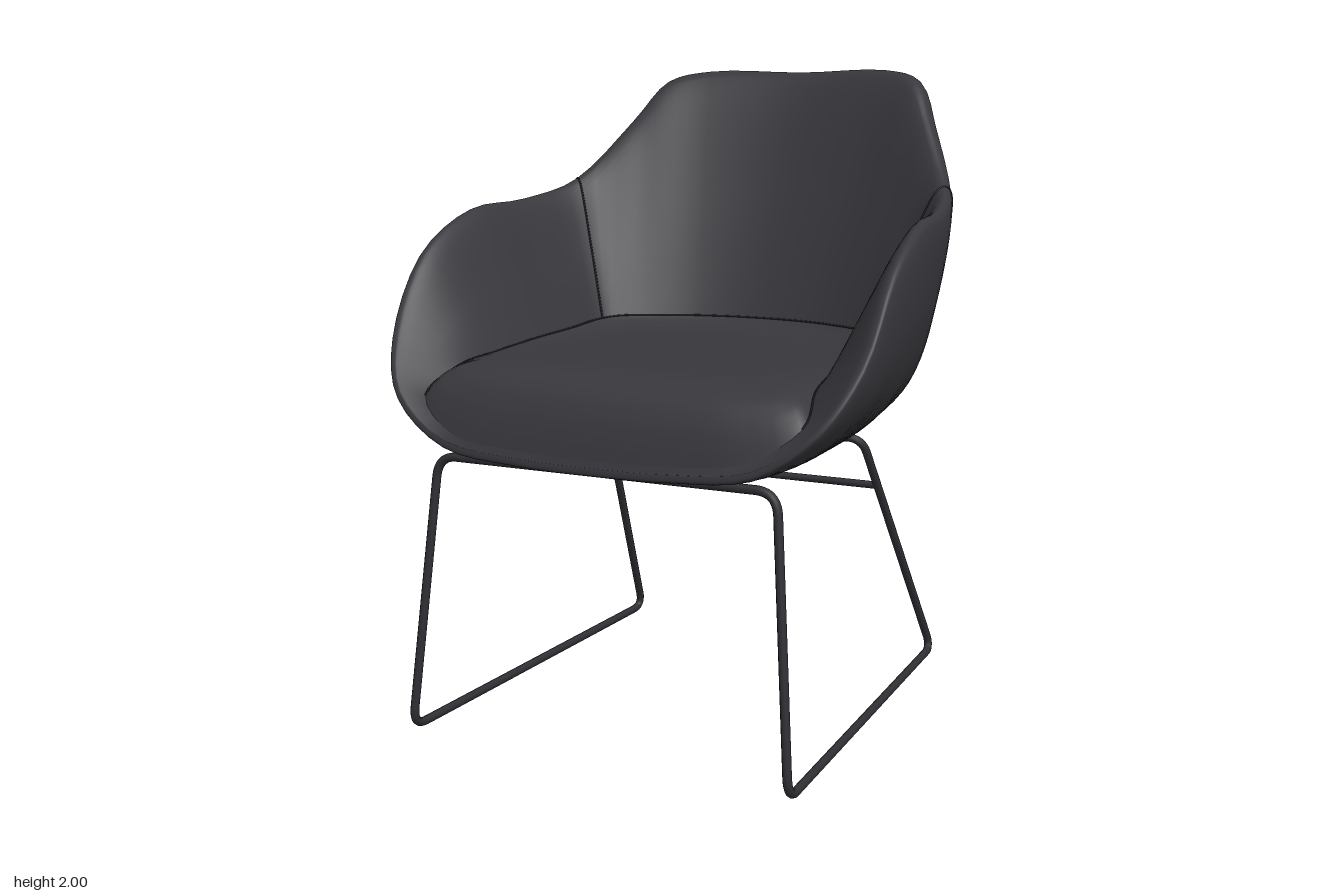
import * as THREE from 'three';

const V = (x, y, z) => new THREE.Vector3(x, y, z);
const COLS = 96;   // columns around the shell
const STEPS = 8;   // rows between neighbouring rings

// Half rings of 13 points running from the back centre round the left side to the front centre.
const RIM = [
  [0, 1.995, -0.795], [0.34, 2.0, -0.745], [0.475, 1.965, -0.675], [0.56, 1.83, -0.565], [0.685, 1.63, -0.345],
  [0.75, 1.57, -0.08], [0.782, 1.55, 0.2], [0.788, 1.43, 0.46], [0.765, 1.2, 0.64], [0.68, 1.04, 0.74],
  [0.5, 0.915, 0.775], [0.25, 0.885, 0.785], [0, 0.88, 0.787],
];
const MID = [
  [0, 1.5, -0.67], [0.33, 1.5, -0.625], [0.5, 1.47, -0.54], [0.585, 1.42, -0.45], [0.665, 1.38, -0.32],
  [0.74, 1.31, -0.06], [0.78, 1.28, 0.18], [0.785, 1.22, 0.38], [0.745, 1.08, 0.55], [0.64, 0.955, 0.66],
  [0.47, 0.875, 0.73], [0.24, 0.855, 0.75], [0, 0.85, 0.755],
];
const LOW = [
  [0, 1.02, -0.51], [0.26, 1.02, -0.475], [0.4, 1.02, -0.41], [0.49, 1.02, -0.33], [0.56, 1.02, -0.24],
  [0.64, 1.02, -0.05], [0.68, 1.03, 0.14], [0.68, 1.0, 0.3], [0.62, 0.94, 0.44], [0.52, 0.885, 0.54],
  [0.38, 0.85, 0.62], [0.2, 0.84, 0.66], [0, 0.835, 0.67],
];
const SEAT = [
  [0, 1.17, -0.37], [0.2, 1.17, -0.345], [0.35, 1.17, -0.285], [0.44, 1.17, -0.225], [0.485, 1.165, -0.17],
  [0.51, 1.15, 0], [0.53, 1.14, 0.18], [0.56, 1.12, 0.38], [0.585, 1.1, 0.54], [0.61, 1.025, 0.695],
  [0.47, 0.93, 0.76], [0.24, 0.905, 0.775], [0, 0.9, 0.778],
];

// Mirrors a half ring and samples it smoothly into COLS points.
function ring(half) {
  const pts = half.map(p => V(...p));
  for (let i = half.length - 2; i > 0; i--) pts.push(V(-half[i][0], half[i][1], half[i][2]));
  const curve = new THREE.CatmullRomCurve3(pts, true);
  return Array.from({ length: COLS }, (_, i) => curve.getPoint(i / COLS));
}

// Blends two rings, with separate amounts across and in height.
const blend = (a, b, across, height, lift = 0) => a.map((p, i) => V(
  p.x + (b[i].x - p.x) * across,
  p.y + (b[i].y - p.y) * height + lift,
  p.z + (b[i].z - p.z) * across));

const pole = (x, y, z) => Array.from({ length: COLS }, () => V(x, y, z));

// Smooth columns running through a stack of rings.
function columns(rings) {
  const rows = (rings.length - 1) * STEPS;
  return Array.from({ length: COLS }, (_, i) => {
    const curve = new THREE.CatmullRomCurve3(rings.map(r => r[i]));
    return Array.from({ length: rows + 1 }, (_, k) => curve.getPoint(k / rows));
  });
}

// Skins the columns into one smooth surface.
function skin(cols) {
  const rows = cols[0].length, pos = [], index = [];
  for (const col of cols) for (const p of col) pos.push(p.x, p.y, p.z);
  for (let i = 0; i < COLS; i++) {
    for (let k = 0; k < rows - 1; k++) {
      const a = i * rows + k, b = ((i + 1) % COLS) * rows + k;
      index.push(a, a + 1, b, b, a + 1, b + 1);
    }
  }
  const geo = new THREE.BufferGeometry();
  geo.setAttribute('position', new THREE.Float32BufferAttribute(pos, 3));
  geo.setIndex(index);
  geo.computeVertexNormals();
  return geo;
}

// Closed path of straight runs joined by rounded corners.
function roundedLoop(pts, cut) {
  const path = new THREE.CurvePath();
  const toward = (a, b) => a.clone().add(b.clone().sub(a).setLength(cut));
  const n = pts.length;
  pts.forEach((p, i) => {
    const prev = pts[(i + n - 1) % n], next = pts[(i + 1) % n];
    path.add(new THREE.QuadraticBezierCurve3(toward(p, prev), p, toward(p, next)));
    path.add(new THREE.LineCurve3(toward(p, next), toward(next, p)));
  });
  return path;
}

export function createModel() {
  const group = new THREE.Group();
  const fabric = new THREE.MeshStandardMaterial({ color: 0x37373c, side: THREE.DoubleSide });
  fabric.name = 'charcoal fabric';
  const metal = new THREE.MeshStandardMaterial({ color: 0x2f2f34 });
  metal.name = 'dark metal';
  const thread = new THREE.MeshStandardMaterial({ color: 0x1a1a1d });
  thread.name = 'seam thread';
  const add = (name, geo, mat) => {
    const mesh = new THREE.Mesh(geo, mat);
    mesh.name = name;
    group.add(mesh);
  };

  // Shell: underside, outer wall, rounded rim and inner wall down to the seat edge
  const rim = ring(RIM), seat = ring(SEAT);
  const base = Array.from({ length: COLS }, (_, i) => {
    const a = i / COLS * Math.PI * 2;
    return V(0.38 * Math.sin(a), 0.825 - 0.005 * Math.cos(a), 0.1 - 0.4 * Math.cos(a));
  });
  const shell = columns([
    pole(0, 0.825, 0.1), base, ring(LOW), ring(MID),
    blend(rim, seat, 0, 0, -0.02),
    blend(rim, seat, 0.08, 0),
    blend(rim, seat, 0.18, 0.03),
    blend(rim, seat, 0.6, 0.5),
    seat,
  ]);
  add('shell', skin(shell), fabric);

  // Seat cushion: crowned pad with a rolled front edge
  const centre = pole(0, 1.13, 0.15);
  const pad = [0, 0.025, 0.06, 0.12, 0.22, 0.5, 1].map(f =>
    blend(seat, centre, f, 1 - (1 - f) ** 12));
  add('seatCushion', skin(columns(pad)), fabric);

  // Seams: where the arms meet the back, and round the seat
  const seam = (name, pts) => add(name,
    new THREE.TubeGeometry(new THREE.CatmullRomCurve3(pts), 100, 0.004, 5), thread);
  const armCol = COLS / 6;
  seam('leftArmSeam', shell[armCol].slice(2 * STEPS));
  seam('rightArmSeam', shell[COLS - armCol].slice(2 * STEPS));
  const reach = COLS * 9 / 24;
  seam('seatSeam', Array.from({ length: 2 * reach + 1 }, (_, i) => seat[(i - reach + COLS) % COLS]));

  // Frame: one continuous bent rod forming both sled legs and the seat supports
  const side = [
    [0.55, 0.853, 0.72], [0.62, 0.0135, 0.795], [0.57, 0.0135, -0.605], [0.467, 0.838, -0.155],
  ];
  const loop = [
    ...side.map(p => V(...p)),
    V(0.2, 0.808, -0.155), V(-0.2, 0.808, -0.155),
    ...side.map(([x, y, z]) => V(-x, y, z)).reverse(),
  ];
  add('sledFrame', new THREE.TubeGeometry(roundedLoop(loop, 0.065), 700, 0.0135, 10, true), metal);

  // Cross bar between the rear legs
  const bar = new THREE.CylinderGeometry(0.0125, 0.0125, 0.98, 12);
  bar.rotateZ(Math.PI / 2).translate(0, 0.66, -0.252);
  add('rearCrossBar', bar, metal);

  return group;
}
